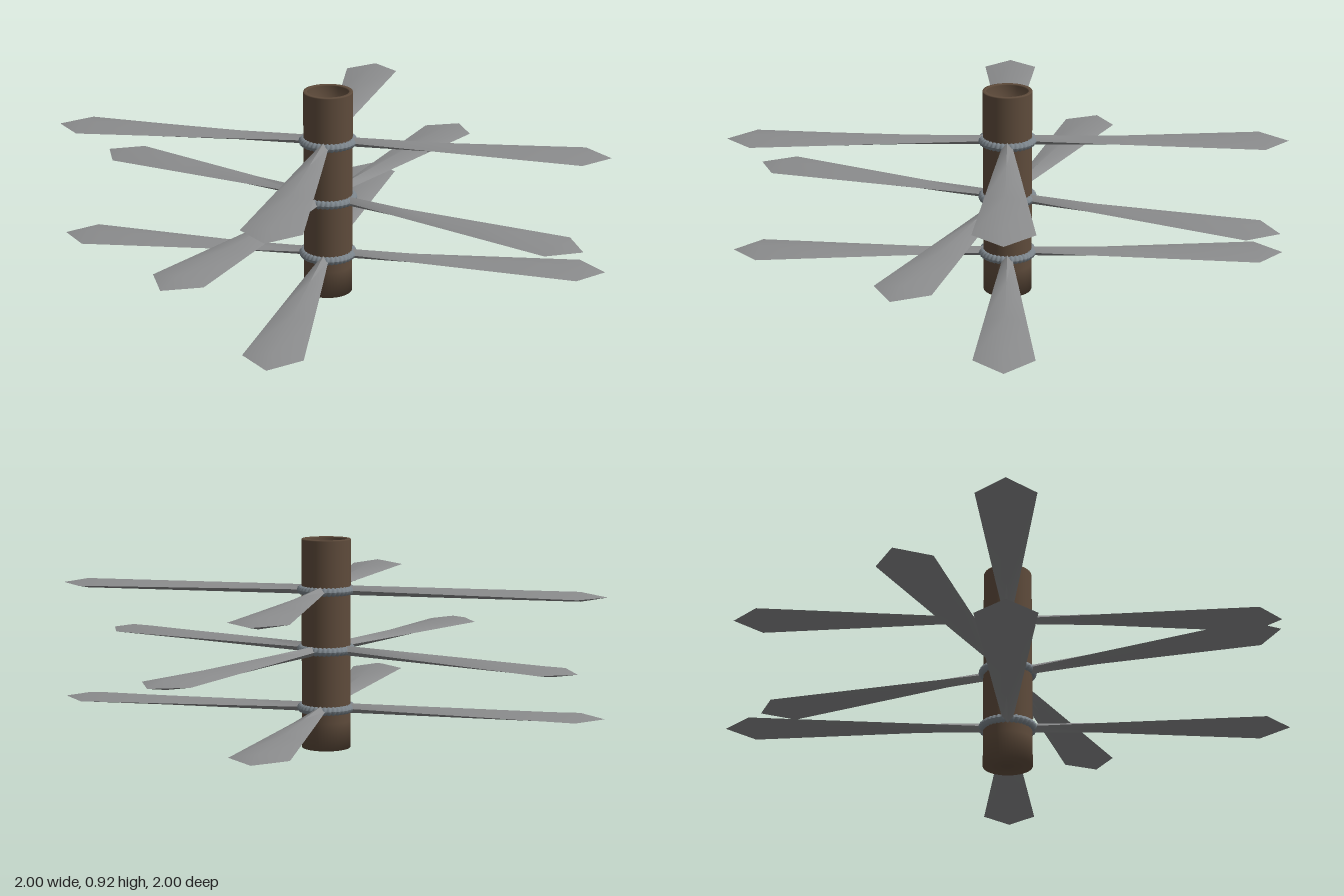
import * as THREE from 'three';
import { toCreasedNormals } from 'three/addons/utils/BufferGeometryUtils.js';

const brown = new THREE.MeshStandardMaterial({ name: 'brown wood', color: 0x5e4b3b });
const steel = new THREE.MeshStandardMaterial({ name: 'grey steel', color: 0x8b8c8d });
const binding = new THREE.MeshStandardMaterial({ name: 'blue grey binding', color: 0x7c858c });

// Blade along +x: diamond cross-sections that widen outward, then close to a point
function bladeGeometry() {
  const sections = [[0.1, 0.022], [0.4, 0.053], [0.75, 0.0875], [1.1, 0.122]];
  const h = 0.021;
  const pos = [], index = [];
  for (const [x, w] of sections) pos.push(x, h, 0, x, 0, w, x, -h, 0, x, 0, -w);
  pos.push(1.215, 0, 0);
  const tip = sections.length * 4;
  for (let i = 0; i < sections.length; i++) {
    for (let k = 0; k < 4; k++) {
      const a = i * 4 + k, b = i * 4 + (k + 1) % 4;
      if (i < sections.length - 1) index.push(a, b, b + 4, a, b + 4, a + 4);
      else index.push(a, b, tip);
    }
  }
  index.push(0, 2, 1, 0, 3, 2); // root cap
  const g = new THREE.BufferGeometry();
  g.setAttribute('position', new THREE.Float32BufferAttribute(pos, 3));
  g.setIndex(index);
  return toCreasedNormals(g, 0.8);
}

// Ring with coil-like ribs: the tube swells and narrows around the loop
function bindingGeometry() {
  const R = 0.108, ribs = 36;
  const g = new THREE.TorusGeometry(R, 0.02, 10, ribs * 4);
  const p = g.attributes.position;
  for (let i = 0; i < p.count; i++) {
    const x = p.getX(i), y = p.getY(i);
    const a = Math.atan2(y, x), r = Math.hypot(x, y);
    const s = 0.78 + 0.22 * Math.abs(Math.sin(a * ribs / 2));
    const nr = R + (r - R) * s;
    p.setXYZ(i, nr * Math.cos(a), nr * Math.sin(a), p.getZ(i) * s);
  }
  g.computeVertexNormals();
  return g.rotateX(Math.PI / 2);
}

export function createModel() {
  const model = new THREE.Group();
  model.name = 'bladedPost';

  // Post with a hollow top
  const profile = [
    [0, 0], [0.107, 0], [0.107, 0.12], [0.107, 0.915], [0.106, 0.92],
    [0.092, 0.92], [0.09, 0.915], [0.088, 0.82], [0, 0.815],
  ].map(([x, y]) => new THREE.Vector2(x, y));
  const post = new THREE.Mesh(new THREE.LatheGeometry(profile, 48), brown);
  post.name = 'post';
  model.add(post);

  // Three tiers of four blades; the middle tier is turned
  const blade = bladeGeometry(), ring = bindingGeometry();
  const tiers = [[0.177, 55.4], [0.437, 34.6], [0.697, 55.4]];
  for (const [y, angle] of tiers) {
    const tier = new THREE.Group();
    tier.name = 'bladeTier';
    tier.position.y = y;
    const band = new THREE.Mesh(ring, binding);
    band.name = 'bindingRing';
    tier.add(band);
    for (let k = 0; k < 4; k++) {
      const m = new THREE.Mesh(blade, steel);
      m.name = 'blade';
      m.rotation.y = THREE.MathUtils.degToRad(angle + 90 * k);
      tier.add(m);
    }
    model.add(tier);
  }
  return model;
}
